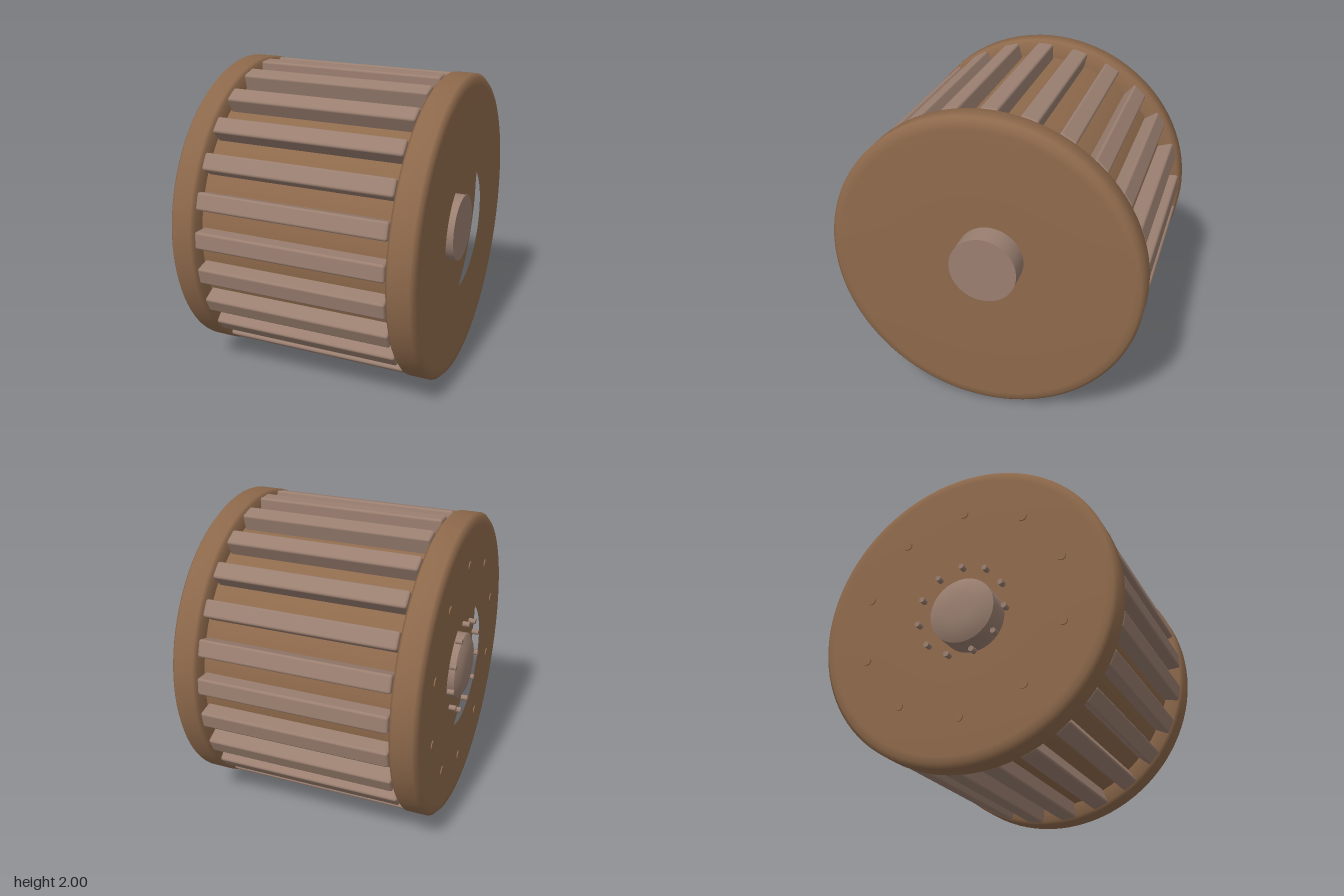
import * as THREE from 'three';
import { toCreasedNormals } from 'three/addons/utils/BufferGeometryUtils.js';
import { RoundedBoxGeometry } from 'three/addons/geometries/RoundedBoxGeometry.js';

export function createModel() {
  const model = new THREE.Group();
  model.name = 'ribbedDrum';
  const brown = new THREE.MeshStandardMaterial({ name: 'drum brown', color: 0x8f6a4c });
  const metal = new THREE.MeshStandardMaterial({ name: 'dull metal', color: 0x9a7f70 });

  const add = (name, geometry, material, parent) => {
    const mesh = new THREE.Mesh(geometry, material);
    mesh.name = name;
    parent.add(mesh);
    return mesh;
  };

  // Turns a [radius, x] profile, listed from low x to high x, around the x axis
  const turned = (profile, segments = 96) => {
    const points = profile.map(([r, x]) => new THREE.Vector2(r, x));
    const geometry = new THREE.LatheGeometry(points, segments).rotateZ(-Math.PI / 2);
    return toCreasedNormals(geometry, 0.9);
  };

  // Everything turns about this centre line
  const body = new THREE.Group();
  body.name = 'body';
  body.position.y = 1;
  model.add(body);

  // Inner drum; its end faces are the floors of the hub openings
  add('drum', turned([[0, -0.625], [0.89, -0.625], [0.89, 0.655], [0, 0.655]]), brown, body);

  // Bevelled end plates, each open around the axle
  add('leftEndPlate', turned([
    [0.86, 0.64], [0.98, 0.64], [1, 0.66], [1, 0.79], [0.975, 0.812], [0.93, 0.815], [0.4, 0.815],
  ]), brown, body);
  add('rightEndPlate', turned([
    [0.4, -0.78], [0.93, -0.78], [0.975, -0.777], [1, -0.755], [1, -0.63], [0.98, -0.61], [0.86, -0.61],
  ]), brown, body);

  // Axle with a flat left end and a gently domed right end
  add('axle', turned([
    [0, -0.82], [0.1, -0.817], [0.17, -0.805], [0.218, -0.78], [0.218, 0.81], [0, 0.81],
  ], 64), metal, body);

  // Long ribs around the drum
  const ribCount = 25;
  const ribGeometry = new RoundedBoxGeometry(1.24, 0.13, 0.113, 2, 0.016).translate(0.015, 0.927, 0);
  const ribs = new THREE.Group();
  ribs.name = 'ribs';
  body.add(ribs);
  for (let i = 0; i < ribCount; i++) {
    add('rib', ribGeometry, metal, ribs).rotation.x = (i / ribCount) * Math.PI * 2;
  }

  // Rings of small round studs on the right end
  const studRing = (name, count, ring, radius, x0, x1, material) => {
    const group = new THREE.Group();
    group.name = name;
    body.add(group);
    const geometry = new THREE.CylinderGeometry(radius, radius, x1 - x0, 16)
      .rotateZ(Math.PI / 2).translate((x0 + x1) / 2, ring, 0);
    for (let i = 0; i < count; i++) {
      add('stud', geometry, material, group).rotation.x = (i / count) * Math.PI * 2;
    }
  };
  studRing('hubStuds', 11, 0.3, 0.018, -0.805, -0.76, metal);
  studRing('plateStuds', 10, 0.7, 0.03, -0.787, -0.77, brown);

  return model;
}
